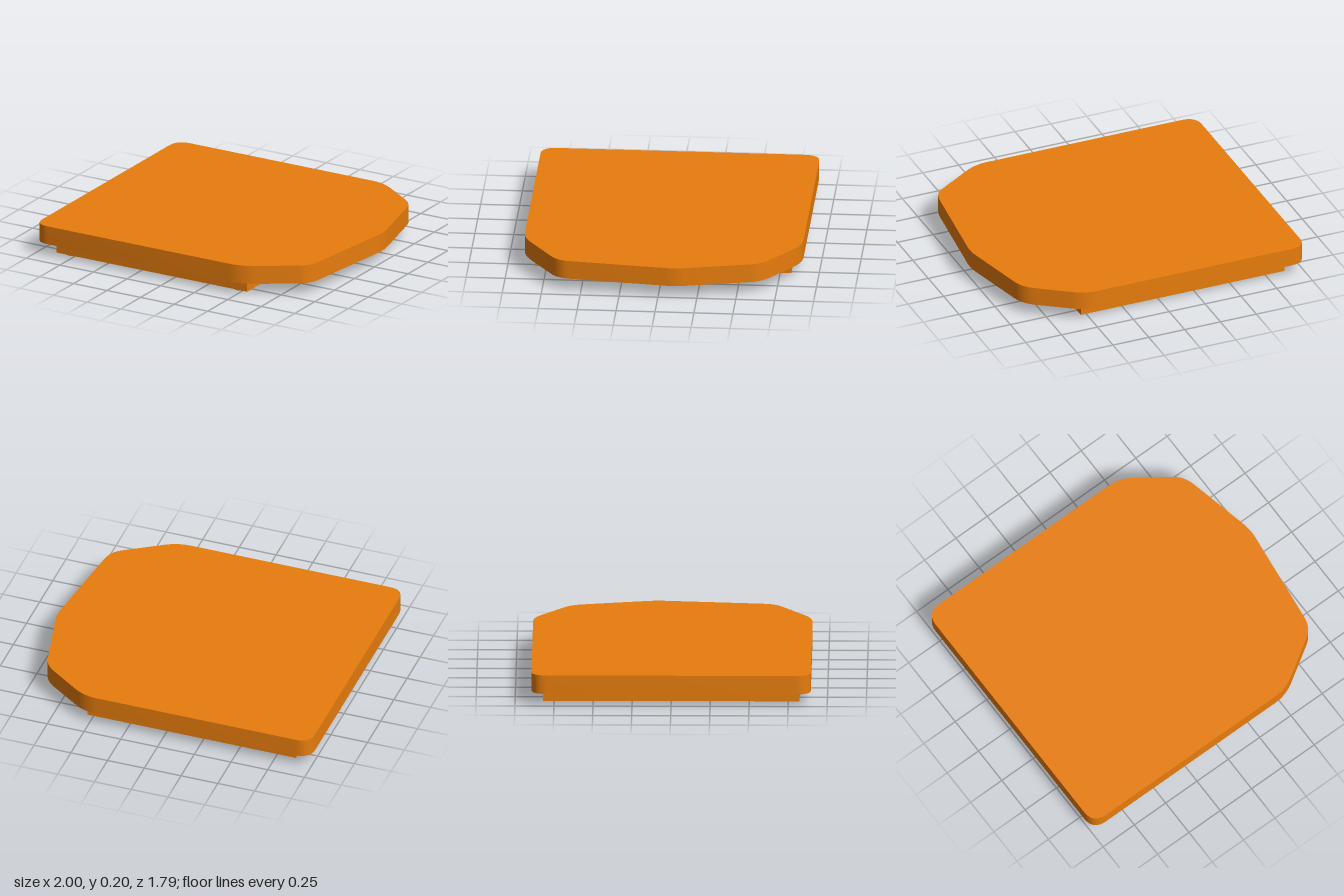
import * as THREE from 'three';
import { toCreasedNormals } from 'three/addons/utils/BufferGeometryUtils.js';

// Closed outline with each corner [x, z, setback] rounded by a quadratic curve
function roundedOutline(corners) {
  const shape = new THREE.Shape();
  const points = corners.map(([x, z]) => new THREE.Vector2(x, -z));
  const towards = (from, to, d) => to.clone().sub(from).setLength(d).add(from);
  points.forEach((p, i) => {
    const prev = points[(i + points.length - 1) % points.length];
    const next = points[(i + 1) % points.length];
    const a = towards(p, prev, corners[i][2]);
    const b = towards(p, next, corners[i][2]);
    if (i === 0) shape.moveTo(a.x, a.y);
    else shape.lineTo(a.x, a.y);
    shape.quadraticCurveTo(p.x, p.y, b.x, b.y);
  });
  shape.closePath();
  return shape;
}

export function createModel() {
  const group = new THREE.Group();
  group.name = 'plateAssembly';
  const material = new THREE.MeshStandardMaterial({ color: 0xe87d0d });

  const add = (name, geometry, x, y, z) => {
    const mesh = new THREE.Mesh(geometry, material);
    mesh.name = name;
    mesh.position.set(x, y, z);
    group.add(mesh);
  };

  // Top plate: square end at -x, blunt faceted nose at +x
  const outline = roundedOutline([
    [-1, 0.895, 0.1],
    [0.54, 0.895, 0.09],
    [0.915, 0.655, 0.08],
    [1.005, -0.11, 0.06],
    [0.88, -0.655, 0.08],
    [0.54, -0.895, 0.09],
    [-1, -0.895, 0.1],
  ]);
  const plate = new THREE.ExtrudeGeometry(outline, { depth: 0.122, bevelEnabled: false, curveSegments: 8 });
  plate.rotateX(-Math.PI / 2);
  add('topPlate', toCreasedNormals(plate, 0.5), 0, 0.08, 0);

  // Rectangular block under the plate
  add('baseBlock', new THREE.BoxGeometry(1.42, 0.075, 1.645), -0.17, 0.0425, 0);

  // Thin round pads under the front corners
  for (const x of [-0.78, 0.467]) {
    add('footPad', new THREE.CylinderGeometry(0.068, 0.068, 0.02, 32), x, 0.01, 0.752);
  }
  return group;
}
